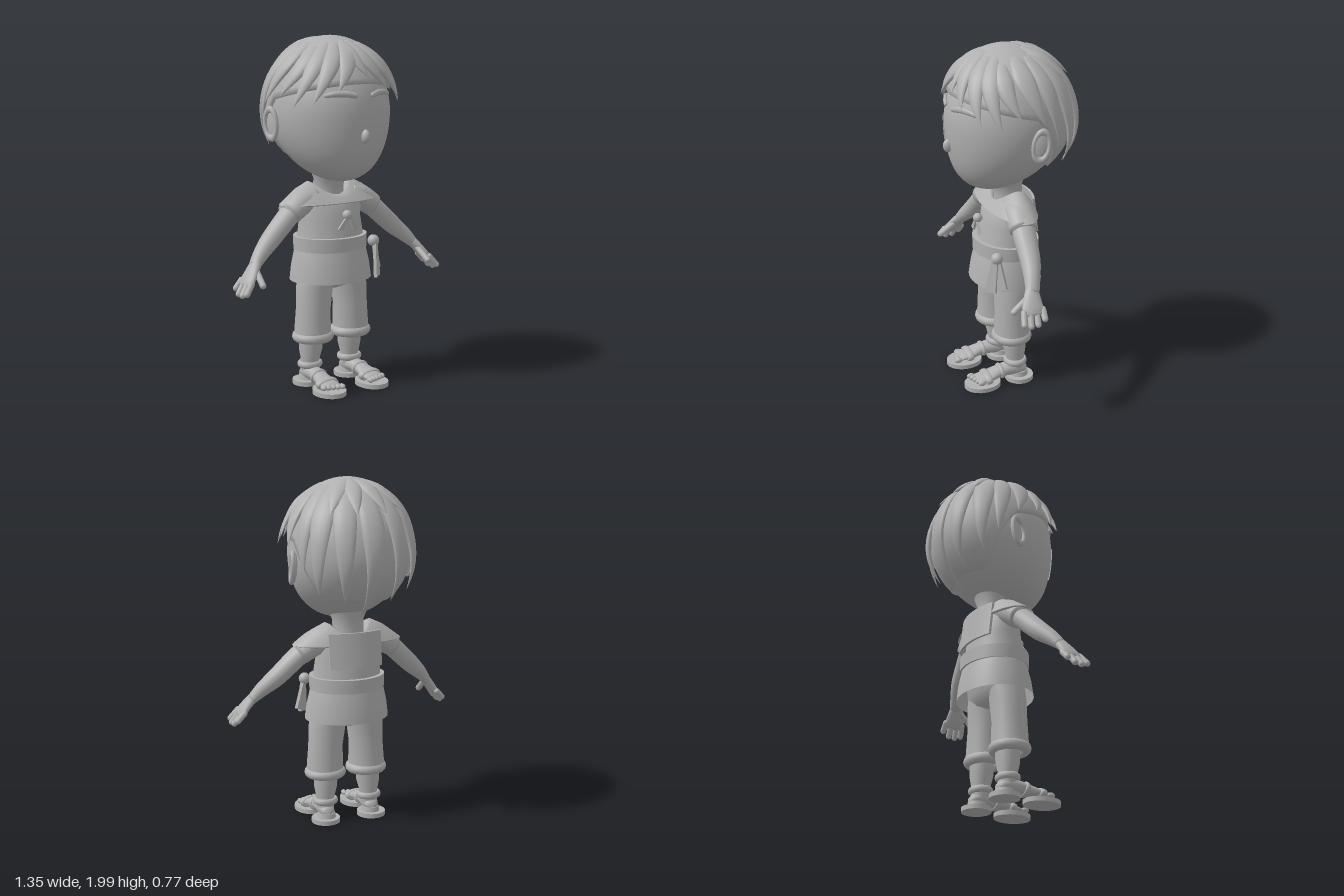
import * as THREE from 'three';

const V = (x, y, z) => new THREE.Vector3(x, y, z);
const rad = THREE.MathUtils.degToRad;
const lerp = THREE.MathUtils.lerp;
const clay = new THREE.MeshStandardMaterial({ color: 0xb0b0b0, side: THREE.DoubleSide });
clay.name = 'grey clay';

function add(parent, name, geo, pos, scale, rot) {
  const m = new THREE.Mesh(geo, clay);
  m.name = name;
  if (pos) m.position.set(...pos);
  if (scale) m.scale.set(...scale);
  if (rot) m.rotation.set(...rot);
  parent.add(m);
  return m;
}

// Skin a list of closed rings of points
function skin(rings) {
  const n = rings[0].length, pos = [], idx = [];
  rings.forEach(r => r.forEach(p => pos.push(p.x, p.y, p.z)));
  for (let j = 0; j < rings.length - 1; j++) for (let i = 0; i < n; i++) {
    const a = j * n + i, c = j * n + (i + 1) % n, b = a + n, d = c + n;
    idx.push(a, b, c, c, b, d);
  }
  const g = new THREE.BufferGeometry();
  g.setAttribute('position', new THREE.Float32BufferAttribute(pos, 3));
  g.setIndex(idx);
  g.computeVertexNormals();
  return g;
}

// Rings [y, halfWidth, zFront, zBack, sideLift, xCentre], listed upwards
function loft(rows, n = 40) {
  return skin(rows.map(([y, rx, zf, zb, lift = 0, cx = 0]) => Array.from({ length: n }, (_, i) => {
    const a = i / n * Math.PI * 2, c = Math.cos(a);
    return V(cx + rx * c, y + lift * c * c, (zf + zb) / 2 + (zf - zb) / 2 * Math.sin(a));
  })));
}

// Oval tube through points [x, y, z, halfWidth, halfThickness]; up is the thickness direction
function sweep(pts, up, seg = 16, n = 14) {
  const path = new THREE.CatmullRomCurve3(pts.map(p => V(p[0], p[1], p[2])));
  const size = new THREE.CatmullRomCurve3(pts.map(p => V(p[3], p[4], 0)));
  const rings = [];
  for (let j = -1; j <= seg + 1; j++) {
    const t = THREE.MathUtils.clamp(j / seg, 0, 1), end = j < 0 || j > seg;
    const P = path.getPoint(t), T = path.getTangent(t), r = size.getPoint(t);
    const U = typeof up === 'function' ? up(P) : up;
    const S = T.clone().cross(U).normalize(), N = S.clone().cross(T).normalize();
    if (end) P.addScaledVector(T, Math.sign(j) * r.y * 0.5);
    rings.push(Array.from({ length: n }, (_, i) => {
      const a = i / n * Math.PI * 2, k = end ? 0 : 1;
      return P.clone().addScaledVector(S, k * r.x * Math.cos(a)).addScaledVector(N, k * r.y * Math.sin(a));
    }));
  }
  return skin(rings);
}

function capsule(parent, name, a, b, r) {
  const A = V(...a), d = V(...b).sub(A);
  const m = add(parent, name, new THREE.CapsuleGeometry(r, d.length(), 5, 10));
  m.position.copy(A).addScaledVector(d, 0.5);
  m.quaternion.setFromUnitVectors(V(0, 1, 0), d.normalize());
}

function ribbon(pts, depth = 0.012) {
  return new THREE.ExtrudeGeometry(new THREE.Shape(pts.map(p => new THREE.Vector2(...p))), { depth, bevelEnabled: false });
}

// Egg-shaped head: azimuth a (0 = left, 90 degrees = front), latitude f, offset outwards
const latitude = y => Math.asin(THREE.MathUtils.clamp((y - 1.57) / 0.385, -1, 1));
function headPoint(a, f, off = 0) {
  const c = Math.cos(f), s = Math.sin(f);
  return V((0.335 + off) * c * Math.cos(a), 1.57 + (0.385 + off) * s,
    (0.345 + off) * c * Math.sin(a) + (s < 0 ? 0.11 * s * s : 0));
}
function facePoint(x, y, off) {
  const f = latitude(y);
  return headPoint(Math.acos(x / (0.335 * Math.cos(f))), f, off);
}
const ringAt = fn => Array.from({ length: 48 }, (_, i) => fn(i / 48 * Math.PI * 2));

function buildHead(g) {
  const rows = [];
  for (let j = 0; j <= 28; j++) rows.push(ringAt(a => headPoint(a, lerp(-Math.PI / 2, Math.PI / 2, j / 28))));
  add(g, 'head', skin(rows));
  add(g, 'neck', loft([[1.04, 0.1, 0.07, -0.1], [1.12, 0.09, 0.065, -0.09], [1.19, 0.09, 0.075, -0.09], [1.25, 0.12, 0.12, -0.11]]));
  add(g, 'nose', new THREE.SphereGeometry(1, 16, 12), [0, 1.455, 0.343], [0.024, 0.038, 0.03]);

  for (const s of [1, -1]) {
    // Eye: oval laid over the face
    const eye = new THREE.RingGeometry(0, 1, 32, 6), p = eye.attributes.position;
    for (let i = 0; i < p.count; i++) {
      const x = p.getX(i), y = p.getY(i);
      const q = facePoint(s * 0.125 + x * 0.066, 1.505 + y * 0.1, 0.005);
      p.setXYZ(i, q.x, q.y, q.z);
    }
    eye.computeVertexNormals();
    add(g, 'eye', eye);
    const brow = [[0.05, 1.673, 0.014], [0.1, 1.684, 0.017], [0.16, 1.684, 0.016], [0.205, 1.675, 0.011]].map(([x, y, w]) => {
      const q = facePoint(s * x, y, 0.004);
      return [q.x, q.y, q.z, w, 0.012];
    });
    add(g, 'eyebrow', sweep(brow, V(0, 0, 1), 12, 10));
    // Ear: shallow dish with a rolled rim
    const ear = new THREE.Group();
    ear.name = 'ear';
    ear.position.set(s * 0.348, 1.51, -0.055);
    ear.rotation.set(-0.15, s * (Math.PI / 2 - 0.25), 0);
    add(ear, 'earBowl', new THREE.SphereGeometry(1, 20, 12), [0, 0, -0.008], [0.045, 0.085, 0.014]);
    add(ear, 'earRim', new THREE.TorusGeometry(0.8, 0.2, 10, 28), [0, 0, 0.006], [0.054, 0.1, 0.07]);
    g.add(ear);
  }
}

function buildHair(g) {
  // Cap down to a hairline that drops behind the ears
  const hairline = a => {
    const s = Math.sin(a);
    return latitude(s > 0 ? 1.655 + 0.08 * s : 1.655 - 0.33 * THREE.MathUtils.smoothstep(-s, 0.05, 0.8));
  };
  const rows = [];
  for (let j = -1; j <= 16; j++) {
    const t = Math.max(j, 0) / 16;
    rows.push(ringAt(a => headPoint(a, lerp(hairline(a), Math.PI / 2, t), j < 0 ? -0.01 : 0.016 + 0.018 * Math.min(1, t * 2))));
  }
  add(g, 'hairCap', skin(rows));

  // Locks [start angle, start height, tip angle, tip height, half width, tip lift]
  const locks = [
    [84, 1.93, 63, 1.69, 0.06, 0.035], [62, 1.92, 42, 1.63, 0.06, 0.05], [45, 1.92, 25, 1.61, 0.06, 0.055],
    [30, 1.9, 10, 1.66, 0.06, 0.05], [5, 1.92, -10, 1.62, 0.07, 0.055], [-20, 1.92, -27, 1.5, 0.065, 0.04],
    [-40, 1.93, -42, 1.4, 0.075, 0.06], [-62, 1.93, -66, 1.36, 0.075, 0.06],
  ];
  const lock = ([a0, y0, a1, y1, w, lift]) => {
    const pts = [], f0 = latitude(y0), f1 = latitude(y1);
    for (let i = 0; i <= 8; i++) {
      const t = i / 8, k = Math.min(1, 0.5 + 1.2 * t) * (1 - t ** 2.2) + 0.02;
      const q = headPoint(rad(lerp(a0, a1, t * t * 0.5 + t * 0.5)), lerp(f0, f1, t), 0.022 + (lift - 0.022) * t * t);
      pts.push([q.x, q.y, q.z, w * k, 0.03 * k]);
    }
    add(g, 'hairLock', sweep(pts, P => P.clone().sub(V(0, 1.57, 0)), 18, 12));
  };
  for (const l of locks) {
    lock(l);
    lock([180 - l[0], l[1], 180 - l[2], ...l.slice(3)]);
  }
  lock([-90, 1.93, -90, 1.28, 0.08, 0.05]);
  lock([98, 1.93, 84, 1.75, 0.05, 0.03]);
  // Short upper layer at the crown
  for (const a of [-75, -105, -50, -130]) lock([a, 1.945, a, 1.78, 0.06, 0.06]);
}

function buildClothes(g) {
  add(g, 'tunicSkirt', loft([[0.615, 0.247, 0.213, -0.193], [0.7, 0.237, 0.2, -0.185], [0.8, 0.215, 0.175, -0.165]]));
  add(g, 'belt', loft([[0.79, 0.2, 0.165, -0.155], [0.79, 0.22, 0.19, -0.178], [0.79, 0.22, 0.19, -0.178],
    [0.868, 0.222, 0.19, -0.178], [0.868, 0.222, 0.19, -0.178], [0.868, 0.19, 0.15, -0.15]]));
  add(g, 'bodice', loft([[0.85, 0.203, 0.165, -0.15], [0.97, 0.188, 0.142, -0.138], [1.05, 0.2, 0.125, -0.13], [1.1, 0.16, 0.09, -0.11]]));
  add(g, 'collar', loft([[1.053, 0.315, 0.12, -0.12], [1.06, 0.332, 0.137, -0.132], [1.06, 0.332, 0.137, -0.132],
    [1.09, 0.22, 0.112, -0.122, 0.052], [1.105, 0.14, 0.085, -0.105, 0.075], [1.1, 0.115, 0.07, -0.097, 0.07], [1.08, 0.09, 0.06, -0.09, 0.04]]));

  // Square flap hanging down the back
  const flap = new THREE.BoxGeometry(0.32, 0.2, 0.014, 16, 6, 1), p = flap.attributes.position;
  for (let i = 0; i < p.count; i++) p.setZ(i, p.getZ(i) + 1.3 * p.getX(i) ** 2 + 0.12 * p.getY(i));
  flap.computeVertexNormals();
  add(g, 'backFlap', flap, [0, 1.03, -0.144]);

  // Chest bow
  const bow = new THREE.Group();
  bow.name = 'chestBow';
  bow.position.set(0, 1, 0.175);
  add(bow, 'bowKnot', new THREE.SphereGeometry(0.027, 16, 12));
  for (const s of [1, -1])
    add(bow, 'bowTail', ribbon([[0, -0.01], [s * 0.018, -0.015], [s * 0.068, -0.075], [s * 0.035, -0.085]]), [0, 0, 0.002]);
  g.add(bow);

  // Sash knot on the left hip
  const sash = new THREE.Group();
  sash.name = 'sash';
  sash.position.set(0.2, 0.825, 0.135);
  sash.rotation.set(-0.12, 0.65, 0);
  add(sash, 'sashKnot', new THREE.SphereGeometry(0.034, 16, 12), [0, 0, 0.01]);
  add(sash, 'sashTail', ribbon([[-0.01, 0], [0.02, 0], [0.085, -0.16], [0.03, -0.18]], 0.018));
  add(sash, 'sashTail', ribbon([[-0.02, 0], [0.015, 0], [0.025, -0.2], [-0.045, -0.21]], 0.018), [0, 0, 0.012]);
  g.add(sash);

  add(g, 'trouserSeat', loft([[0.56, 0.03, 0.06, -0.03], [0.585, 0.17, 0.115, -0.075], [0.64, 0.215, 0.14, -0.11], [0.78, 0.2, 0.15, -0.14]]));
}

// One arm and leg on the left; mirrored for the right
function buildLimbs(g) {
  const out = V(0.66, 0.75, 0);
  add(g, 'sleeve', sweep([[0.12, 1.1, -0.005, 0.085, 0.06], [0.2, 1.065, 0.005, 0.085, 0.072], [0.285, 1.01, 0.015, 0.08, 0.066]], out, 12, 20));
  add(g, 'arm', sweep([[0.22, 1.06, 0, 0.07, 0.055], [0.3, 0.99, 0.018, 0.066, 0.057], [0.42, 0.88, 0.035, 0.056, 0.053],
    [0.5, 0.81, 0.06, 0.044, 0.041], [0.55, 0.758, 0.08, 0.038, 0.028]], out, 20, 20));
  add(g, 'palm', sweep([[0.53, 0.78, 0.075, 0.034, 0.03], [0.57, 0.735, 0.09, 0.05, 0.026], [0.605, 0.69, 0.1, 0.062, 0.023],
    [0.625, 0.665, 0.1, 0.055, 0.017]], out, 12, 16));
  [[0.045, 0.645], [0.083, 0.622], [0.12, 0.62], [0.155, 0.633]].forEach(([z, y]) =>
    capsule(g, 'finger', [0.61, 0.685, z], [0.648 + (0.645 - y) * 0.3, y, z * 1.1], 0.0175));
  capsule(g, 'thumb', [0.555, 0.735, 0.115], [0.565, 0.675, 0.195], 0.018);

  add(g, 'trouserLeg', loft([[0.29, 0.108, 0.125, -0.082, 0, 0.133], [0.45, 0.1, 0.12, -0.075, 0, 0.128],
    [0.57, 0.108, 0.12, -0.08, 0, 0.118], [0.66, 0.1, 0.12, -0.085, 0, 0.105]], 28));
  add(g, 'trouserCuff', new THREE.TorusGeometry(0.092, 0.03, 12, 36), [0.13, 0.29, 0.022], [1, 0.95, 1], [Math.PI / 2, 0, 0]);
  add(g, 'calf', loft([[0.07, 0.05, 0.05, -0.05, 0, 0.138], [0.15, 0.054, 0.058, -0.05, 0, 0.138],
    [0.21, 0.068, 0.072, -0.06, 0, 0.135], [0.3, 0.07, 0.075, -0.06, 0, 0.133]], 24));

  // Foot and sandal
  add(g, 'foot', sweep([[0.14, 0.058, -0.055, 0.035, 0.025], [0.14, 0.075, 0, 0.05, 0.045], [0.145, 0.072, 0.1, 0.045, 0.036],
    [0.148, 0.056, 0.18, 0.058, 0.026], [0.148, 0.047, 0.25, 0.058, 0.015]], V(0, 1, 0), 16, 18));
  for (let i = 0; i < 5; i++)
    add(g, 'toe', new THREE.SphereGeometry(1, 12, 8), [0.098 + i * 0.026, 0.047, 0.268 - i * 0.008], [0.016, 0.016, 0.024]);
  const disc = new THREE.CylinderGeometry(1, 1, 0.026, 32);
  add(g, 'frontSole', disc, [0.148, 0.013, 0.213], [0.09, 1, 0.108]);
  add(g, 'heelSole', disc, [0.145, 0.013, -0.02], [0.083, 1, 0.083]);
  add(g, 'heelPad', new THREE.CylinderGeometry(0.05, 0.055, 0.03, 24), [0.14, 0.038, -0.02]);
  add(g, 'ankleStrap', new THREE.TorusGeometry(0.054, 0.014, 10, 28), [0.138, 0.122, 0.003], [1.1, 1, 1.4], [Math.PI / 2, 0, 0]);
  add(g, 'instepStrap', new THREE.TorusGeometry(0.046, 0.01, 10, 28), [0.145, 0.07, 0.1], [1, 0.8, 1.3], [0.2, 0, 0]);
  add(g, 'toeStrap', new THREE.TorusGeometry(0.06, 0.013, 10, 28), [0.148, 0.052, 0.19], [1, 0.5, 1.6], [0.2, 0, 0]);
}

export function createModel() {
  const model = new THREE.Group();
  model.name = 'child';
  const part = (name, build) => {
    const g = new THREE.Group();
    g.name = name;
    build(g);
    model.add(g);
    return g;
  };
  part('headGroup', buildHead);
  part('hair', buildHair);
  part('clothes', buildClothes);
  part('leftLimbs', buildLimbs);
  part('rightLimbs', buildLimbs).scale.x = -1;
  return model;
}
